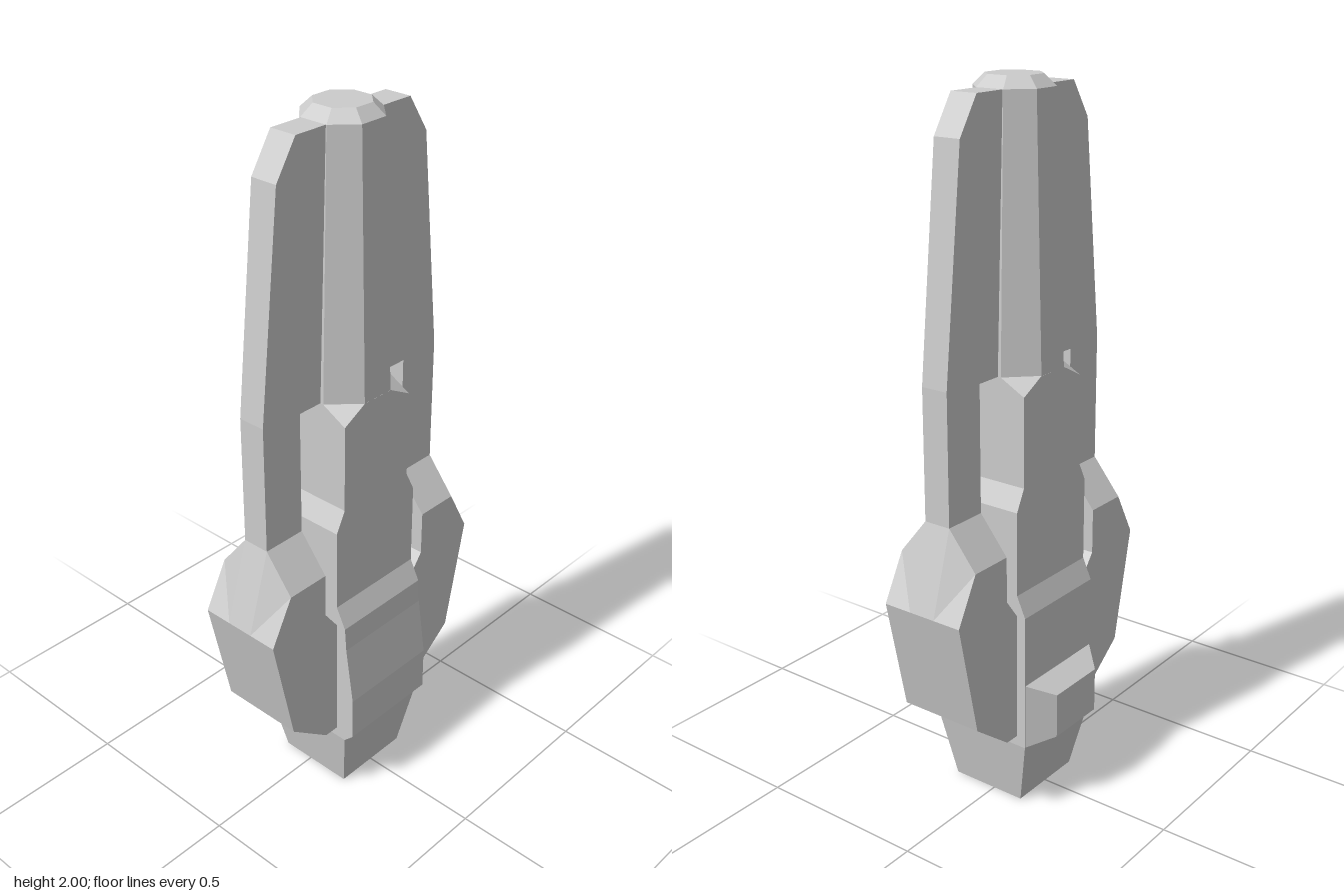
import * as THREE from 'three';

const MID = 0.015; // depth of the shared centre plane
const material = new THREE.MeshStandardMaterial({ color: 0xcccccc, flatShading: true });

// Skin between rings of points (counter-clockwise seen from the last ring), with fan caps.
function loft(name, rings, flip = () => false) {
  const pos = [];
  const tri = (a, b, c) => {
    if (new THREE.Triangle(a, b, c).getArea() > 1e-9) for (const p of [a, b, c]) pos.push(p.x, p.y, p.z);
  };
  const n = rings[0].length;
  for (let i = 0; i + 1 < rings.length; i++) {
    for (let j = 0; j < n; j++) {
      const k = (j + 1) % n;
      const a = rings[i][j], b = rings[i][k], c = rings[i + 1][k], d = rings[i + 1][j];
      if (flip(i)) { tri(a, b, d); tri(b, c, d); } else { tri(a, b, c); tri(a, c, d); }
    }
  }
  const first = rings[0], last = rings[rings.length - 1];
  for (let j = 1; j + 1 < n; j++) {
    tri(first[0], first[j + 1], first[j]);
    tri(last[0], last[j], last[j + 1]);
  }
  const geometry = new THREE.BufferGeometry();
  geometry.setAttribute('position', new THREE.Float32BufferAttribute(pos, 3));
  geometry.computeVertexNormals();
  const mesh = new THREE.Mesh(geometry, material);
  mesh.name = name;
  return mesh;
}

const V = (x, y, z) => new THREE.Vector3(x, y, z);

// Boxy ring with points beside each corner, so the top can be chamfered to an octagon
function bodyRing(y, hx, zb, zf) {
  const c = 0.05, m = MID;
  return [
    [hx, m + c], [hx, m - c], [hx, zb], [c, zb], [-c, zb], [-hx, zb],
    [-hx, m - c], [-hx, m + c], [-hx, zf], [-c, zf], [c, zf], [hx, zf],
  ].map(([x, z]) => V(x, y, z));
}

function makeBody() {
  const rings = [ // y, half width, back z, front z
    [0, 0.12, -0.095, 0.135],
    [0.2, 0.155, -0.137, 0.17],
    [0.23, 0.155, -0.137, 0.2],
    [0.36, 0.155, -0.137, 0.2],
    [0.53, 0.155, -0.137, 0.175],
    [0.6, 0.155, -0.137, 0.17],
    [0.66, 0.155, -0.11, 0.14],
    [0.9, 0.155, -0.11, 0.14],
    [0.96, 0.125, -0.11, 0.14],
  ].map((r) => bodyRing(...r));
  // Corners stop lower than the sides, then fold in to the barrel's octagon
  const rim = bodyRing(1.25, 0.125, -0.11, 0.14);
  const top = rim.map((p) => p.clone());
  for (let i = 2; i < 12; i += 3) {
    top[i].lerpVectors(rim[i - 1], rim[(i + 1) % 12], 0.5);
    rim[i].y = 1.21;
  }
  return loft('body', [...rings, rim, top]);
}

// Tapered octagonal barrel with a bevelled tip
function makeBarrel() {
  const ring = (y, r, c) => [[r, c], [r, -c], [c, -r], [-c, -r], [-r, -c], [-r, c], [-c, r], [c, r]]
    .map(([x, z]) => V(x, y, z + MID));
  return loft('barrel', [ring(1.24, 0.125, 0.05), ring(1.97, 0.1, 0.042), ring(2, 0.07, 0.03)]);
}

// Bevelled block on the back of the body
function makeBackBlock() {
  const ring = (h, y0, y1, z) => [V(h, y0, z), V(-h, y0, z), V(-h, y1, z), V(h, y1, z)];
  return loft('backBlock', [ring(0.155, 0.2, 0.395, -0.135), ring(0.092, 0.23, 0.36, -0.2)]);
}

// One side: thick lower pod and thin upper fin, symmetric in depth
function makeSide(name) {
  const side = new THREE.Group();
  side.name = name;
  const podRing = (top, z) => [
    [0.2, 0.66], [0.155, 0.6], [0.155, 0.23], [0.2, 0.23],
    [0.33, 0.33], [0.4, 0.66], [0.33, top], [0.2, top],
  ].map(([x, y]) => V(x, y, z));
  side.add(loft('pod', [
    podRing(0.79, -0.125), podRing(0.895, -0.04), podRing(0.895, 0.04), podRing(0.79, 0.125),
  ], (i) => i === 0));

  const outline = [
    [0.2, 0.85], [0.33, 0.85], [0.33, 1.26], [0.265, 1.87],
    [0.2, 1.97], [0.05, 1.97], [0.05, 1.25], [0.2, 1.25],
  ].map(([x, y]) => new THREE.Vector2(x, y));
  const finGeometry = new THREE.ExtrudeGeometry(new THREE.Shape(outline), { depth: 0.08, bevelEnabled: false });
  finGeometry.translate(0, 0, -0.04);
  const fin = new THREE.Mesh(finGeometry, material);
  fin.name = 'fin';
  side.add(fin);
  side.position.z = MID;
  return side;
}

export function createModel() {
  const model = new THREE.Group();
  const left = makeSide('leftSide');
  const right = makeSide('rightSide');
  right.rotation.y = Math.PI;
  model.add(makeBody(), makeBarrel(), makeBackBlock(), left, right);
  return model;
}
